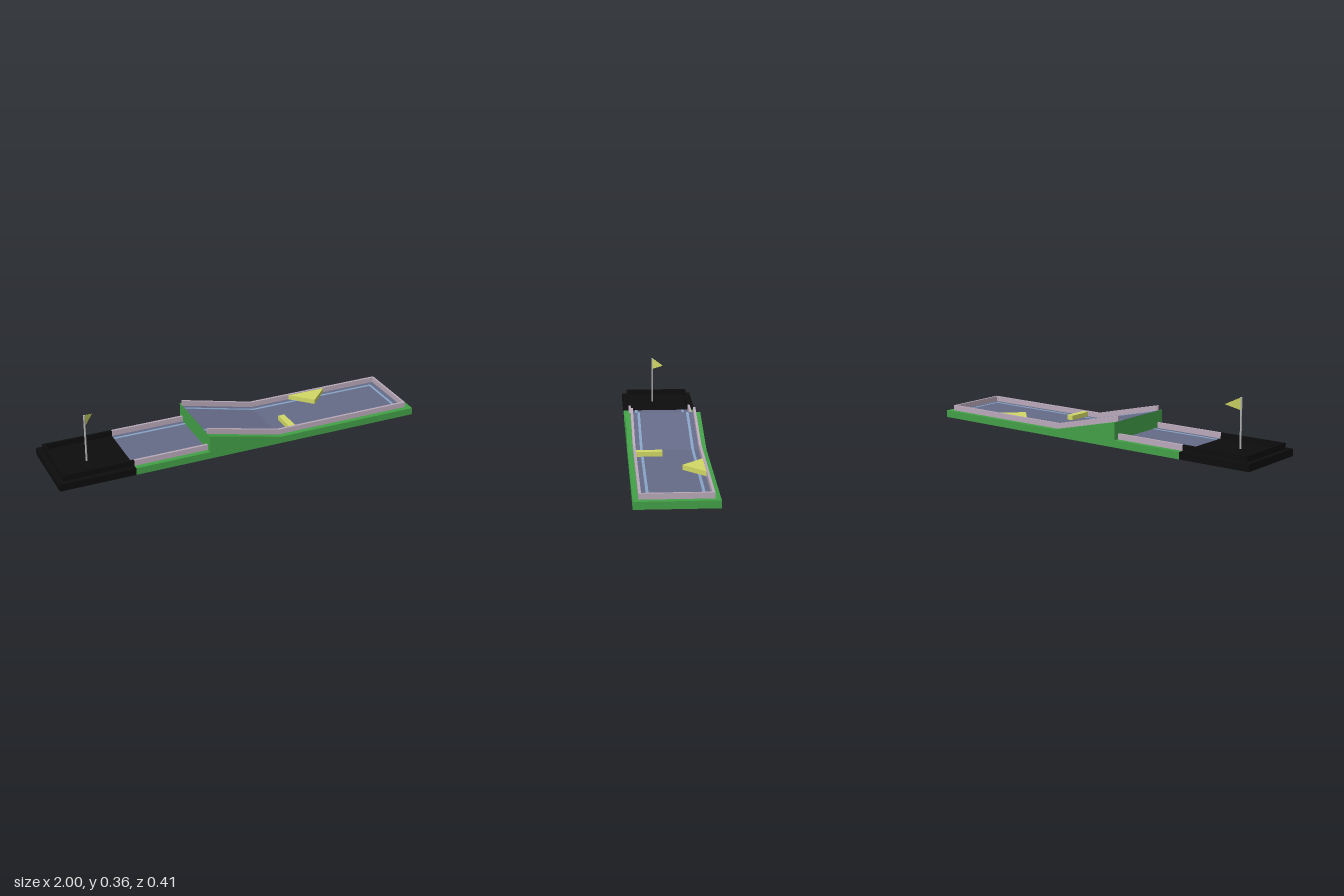
import * as THREE from 'three';

const mat = (color) => new THREE.MeshStandardMaterial({ color, flatShading: true });
const green = mat(0x43a047), felt = mat(0x666b88), line = mat(0x87a3c6);
const wood = mat(0xb9a9b9), yellow = mat(0xd2d865), black = mat(0x0d0d0d), steel = mat(0xb0b0b0);

// Floor lines in x, y: below the drop, and from the ramp lip to the tee end
const lowFloor = [[-0.6, 0.1], [-0.2, 0.1]];
const highFloor = (end) => [[-0.2, 0.193], [0.2, 0.1], [end, 0.1]];

export function createModel() {
  const course = new THREE.Group();
  course.name = 'miniGolfLane';

  const add = (name, geometry, material, parent = course) => {
    const mesh = new THREE.Mesh(geometry, material);
    mesh.name = name;
    parent.add(mesh);
    return mesh;
  };

  // Side profile extruded from z0 to z1
  const prism = (points, z0, z1) => {
    const shape = new THREE.Shape(points.map(([x, y]) => new THREE.Vector2(x, y)));
    return new THREE.ExtrudeGeometry(shape, { depth: z1 - z0, bevelEnabled: false }).translate(0, 0, z0);
  };

  // Layer of given height that follows a floor line
  const layer = (floor, height, z0, z1) =>
    prism([...floor, ...floor.map(([x, y]) => [x, y + height]).reverse()], z0, z1);

  const box = (x0, x1, y0, y1, z0, z1) =>
    new THREE.BoxGeometry(x1 - x0, y1 - y0, z1 - z0)
      .translate((x0 + x1) / 2, (y0 + y1) / 2, (z0 + z1) / 2);

  // Base with the ramp and its drop
  add('base', prism([[-0.6, 0.062], [1, 0.062], [1, 0.1], [0.2, 0.1], [-0.2, 0.193],
    [-0.2, 0.1], [-0.6, 0.1]], -0.203, 0.203), green);
  add('holeBase', box(-1, -0.6, 0.062, 0.1, -0.203, 0.203), black);

  // Playing surface
  add('lowerFelt', layer(lowFloor, 0.001, -0.164, 0.164), felt);
  add('upperFelt', layer(highFloor(0.96), 0.001, -0.164, 0.164), felt);

  // Rails and painted lines along both sides
  for (const side of [-1, 1]) {
    const span = (a, b) => (side > 0 ? [a, b] : [-b, -a]);
    const rail = span(0.163, 0.176), stripe = span(0.125, 0.139);
    add('lowerRail', layer(lowFloor, 0.03, ...rail), wood);
    add('upperRail', layer(highFloor(0.97), 0.029, ...rail), wood);
    add('holeRail', box(-0.973, -0.6, 0.1, 0.13, ...rail), black);
    add('lowerLine', layer(lowFloor, 0.0025, ...stripe), line);
    add('upperLine', layer(highFloor(0.932), 0.0025, ...stripe), line);
  }
  add('teeRail', box(0.958, 0.97, 0.1, 0.129, -0.163, 0.163), wood);
  add('teeLine', box(0.918, 0.932, 0.1, 0.1025, -0.125, 0.125), line);
  add('holeEndRail', box(-0.973, -0.961, 0.1, 0.13, -0.163, 0.163), black);

  // Obstacles
  add('blockObstacle', box(0.272, 0.308, 0.1, 0.126, 0.03, 0.163), yellow);
  const wedge = new THREE.Shape([
    new THREE.Vector2(0.43, 0.163), new THREE.Vector2(0.535, 0.055), new THREE.Vector2(0.645, 0.163),
  ]);
  add('triangleObstacle', new THREE.ExtrudeGeometry(wedge, { depth: 0.026, bevelEnabled: false })
    .rotateX(-Math.PI / 2).translate(0, 0.1, 0), yellow);

  // Hole with pole and flag
  const flagstick = new THREE.Group();
  flagstick.name = 'flagstick';
  flagstick.position.set(-0.803, 0, 0.03);
  course.add(flagstick);
  add('hole', new THREE.CylinderGeometry(0.03, 0.03, 0.002, 24).translate(0, 0.1005, 0), black, flagstick);
  add('pole', new THREE.CylinderGeometry(0.005, 0.005, 0.36, 10).translate(0, 0.18, 0), steel, flagstick);
  const flag = add('flag', prism([[0.002, 0.296], [0.083, 0.328], [0.002, 0.36]], -0.001, 0.001), yellow, flagstick);
  flag.rotation.y = Math.PI / 4;

  return course;
}
